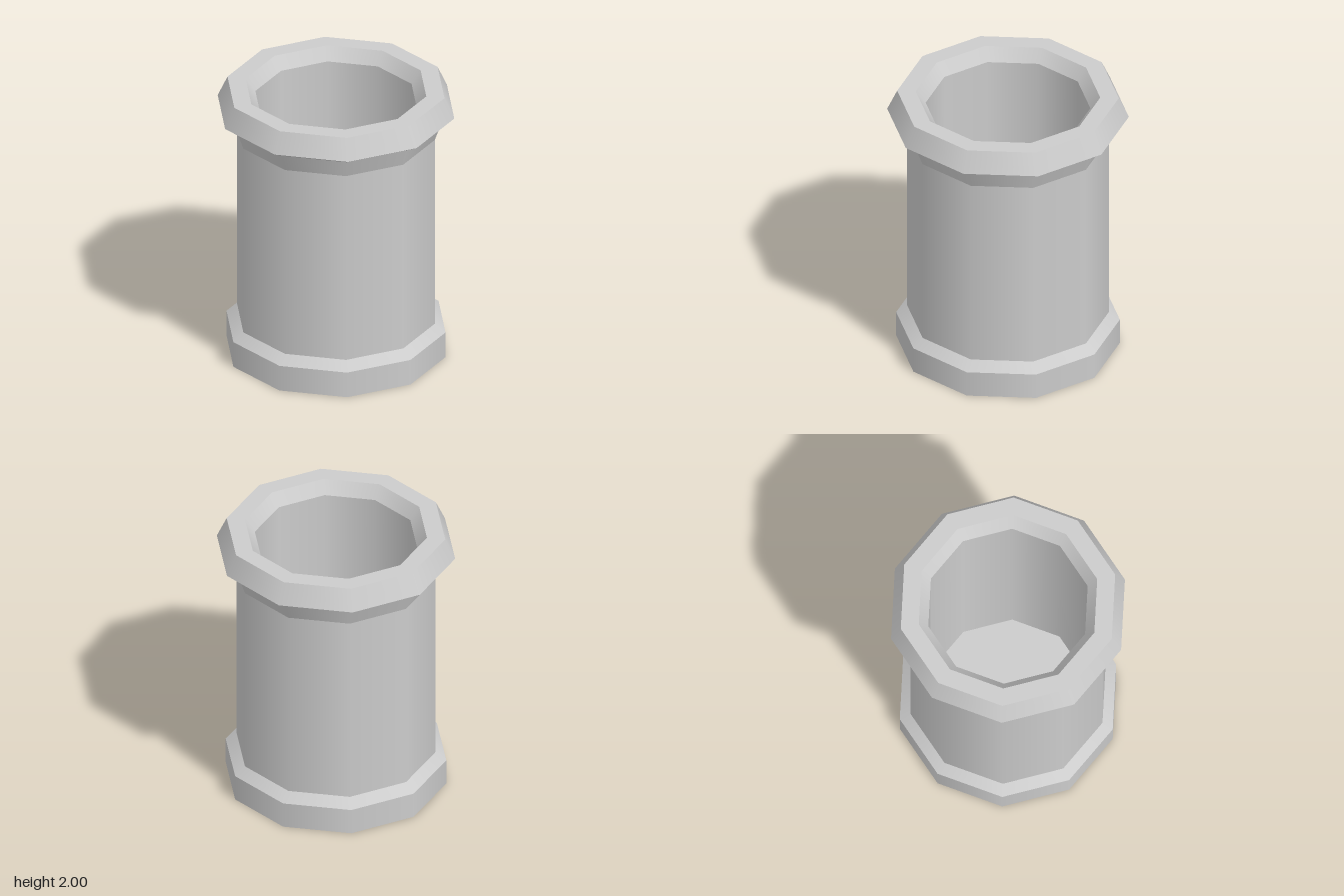
import * as THREE from 'three';

const SIDES = 10;

export function createModel() {
  const pot = new THREE.Group();
  pot.name = 'pot';
  const material = new THREE.MeshStandardMaterial({ color: 0xcccccc });

  // One ten-sided band per profile segment: smooth around, sharp between bands
  function addPart(name, profile) {
    const part = new THREE.Group();
    part.name = name;
    for (let i = 0; i < profile.length - 1; i++) {
      const points = [profile[i], profile[i + 1]].map(([r, y]) => new THREE.Vector2(r, y));
      const band = new THREE.Mesh(new THREE.LatheGeometry(points, SIDES, Math.PI / 2), material);
      band.name = name + 'Band' + (i + 1);
      part.add(band);
    }
    pot.add(part);
  }

  // Profiles [radius, height] run up the outside, over the rim and down the inside
  addPart('foot', [[0, 0], [0.77, 0], [0.77, 0.19], [0.695, 0.25]]);
  addPart('body', [[0.695, 0.25], [0.695, 1.67]]);
  addPart('neck', [[0.695, 1.67], [0.74, 1.8]]);
  addPart('rim', [[0.74, 1.8], [0.832, 1.85], [0.763, 2], [0.635, 2], [0.567, 1.91]]);
  addPart('innerWall', [[0.567, 1.91], [0.562, 0.1]]);
  addPart('floor', [[0.562, 0.1], [0, 0.1]]);

  return pot;
}
